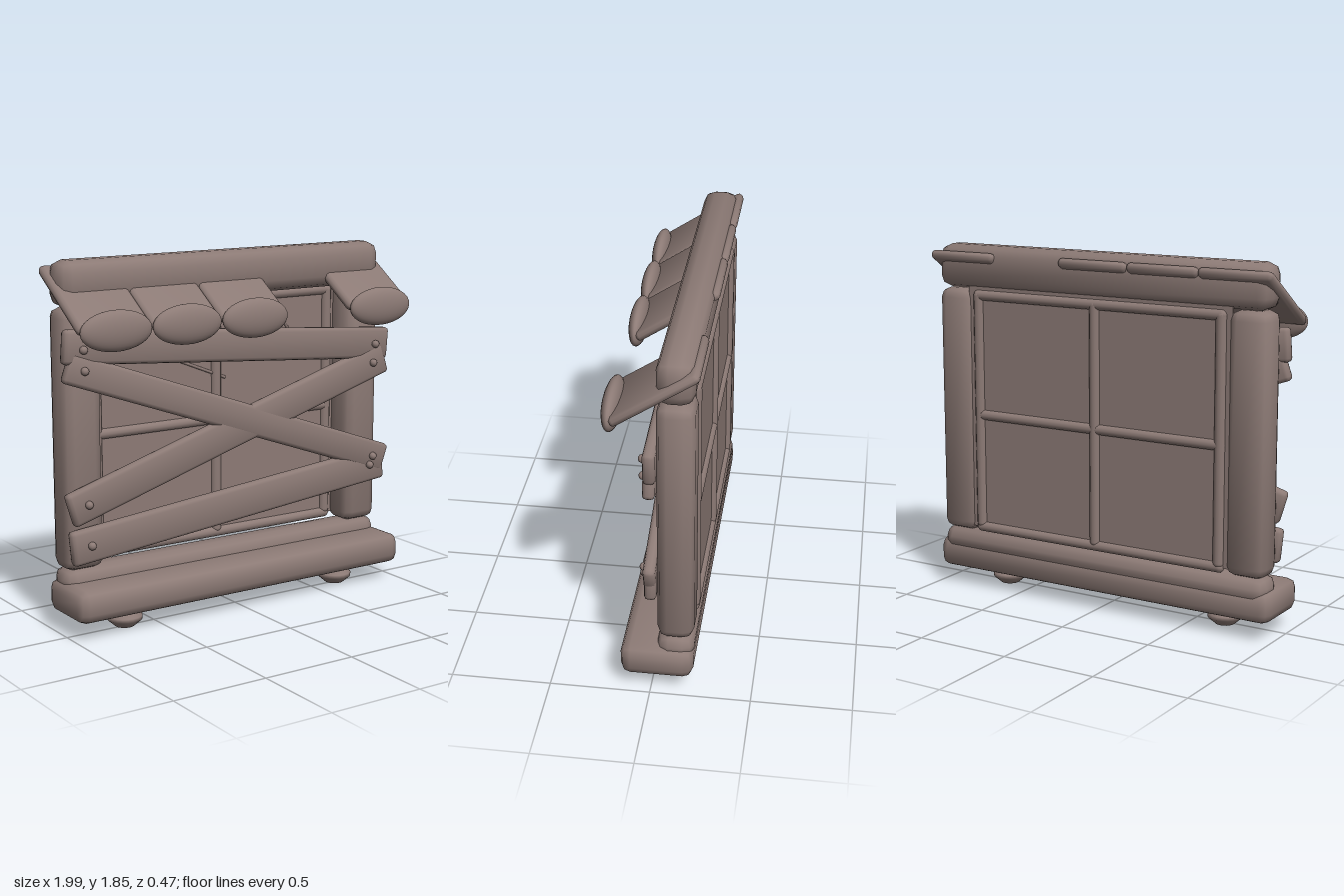
import * as THREE from 'three';
import { RoundedBoxGeometry } from 'three/addons/geometries/RoundedBoxGeometry.js';

// Box with a coarse bevel and softened normals, for a puffy carved look
function softBox(w, h, d, r) {
  const geometry = new RoundedBoxGeometry(w, h, d, 1, r);
  const { position, normal } = geometry.attributes;
  const n = new THREE.Vector3();
  for (let i = 0; i < position.count; i++) {
    n.fromBufferAttribute(normal, i);
    n.x += 0.3 * Math.sign(position.getX(i));
    n.y += 0.3 * Math.sign(position.getY(i));
    n.z += 0.3 * Math.sign(position.getZ(i));
    n.normalize();
    normal.setXYZ(i, n.x, n.y, n.z);
  }
  return geometry;
}

export function createModel() {
  const model = new THREE.Group();
  model.name = 'boardedWindow';
  const wood = new THREE.MeshStandardMaterial({ color: 0x8d7b76 });
  wood.name = 'wood';

  const add = (name, geometry, x, y, z) => {
    const mesh = new THREE.Mesh(geometry, wood);
    mesh.name = name;
    mesh.position.set(x, y, z);
    model.add(mesh);
    return mesh;
  };
  const block = (name, w, h, d, r, x, y, z) => add(name, softBox(w, h, d, r), x, y, z);

  // Main frame
  block('sill', 1.99, 0.167, 0.36, 0.05, 0, 0.173, -0.03);
  block('bottomRail', 1.935, 0.14, 0.18, 0.055, 0, 0.25, -0.12);
  block('topBeam', 1.935, 0.228, 0.18, 0.06, 0, 1.738, -0.12);
  for (const side of [-1, 1]) {
    block('sidePost', 0.212, 1.31, 0.18, 0.05, side * 0.86, 0.968, -0.12);
  }

  // Feet under the sill
  const footProfile = [[0, 0], [0.05, 0], [0.09, 0.035], [0.09, 0.055], [0.05, 0.1], [0, 0.1]]
    .map(([r, y]) => new THREE.Vector2(r, y));
  for (const side of [-1, 1]) add('foot', new THREE.LatheGeometry(footProfile, 20), side * 0.665, 0, -0.01);

  // Pane and round glazing bars, set toward the back of the frame
  const paneZ = -0.185;
  add('pane', new THREE.BoxGeometry(1.55, 1.295, 0.012), 0, 0.9925, paneZ);
  const bar = (name, x1, y1, x2, y2, r, z) => {
    const length = Math.hypot(x2 - x1, y2 - y1);
    const mesh = add(name, new THREE.CapsuleGeometry(r, length - 2 * r, 4, 12), (x1 + x2) / 2, (y1 + y2) / 2, z);
    mesh.rotation.z = Math.atan2(y2 - y1, x2 - x1) - Math.PI / 2;
  };
  for (const x of [-0.715, 0, 0.715]) bar('verticalBar', x, 0.34, x, 1.62, 0.03, paneZ);
  for (const y of [0.348, 0.96, 1.595]) bar('horizontalBar', -0.745, y, 0.745, y, 0.028, paneZ);

  // Cracks in the pane
  const cracks = [[0.36, 1.565, 0.46, 1.4], [-0.24, 1.295, 0.06, 1.175], [-0.6, 1.35, -0.53, 1.305]];
  for (const [x1, y1, x2, y2] of cracks) bar('crack', x1, y1, x2, y2, 0.008, paneZ + 0.008);

  // Boards nailed across: x1, y1, x2, y2, height, z
  const boards = [
    [-0.99, 1.45, 0.988, 1.303, 0.17, -0.002],
    [-0.975, 1.353, 0.978, 0.661, 0.156, 0.001],
    [-0.97, 0.637, 0.97, 1.229, 0.174, 0],
    [-0.965, 0.444, 0.968, 0.64, 0.178, -0.001],
  ];
  for (const [x1, y1, x2, y2, h, z] of boards) {
    const length = Math.hypot(x2 - x1, y2 - y1);
    const board = block('board', length, h, 0.06, 0.02, (x1 + x2) / 2, (y1 + y2) / 2, z);
    board.rotation.z = Math.atan2(y2 - y1, x2 - x1);
  }

  // Nail heads
  const nails = [[-0.895, 1.433], [-0.89, 1.33], [0.89, 1.307], [0.878, 1.206], [-0.88, 0.667], [0.885, 0.687], [0.865, 0.64], [-0.868, 0.458]];
  for (const [x, y] of nails) add('nail', new THREE.SphereGeometry(0.021, 12, 8), x, y, 0.038);

  // Sloping awning slats with rounded lips, one slat missing
  for (const x of [-0.797, -0.4, 0, 0.797]) {
    const slat = block('awningSlat', 0.396, 0.05, 0.485, 0.022, x, 1.672, -0.028);
    slat.rotation.x = 0.591;
    const lip = add('awningLip', new THREE.SphereGeometry(1, 28, 16), x, 1.537, 0.184);
    lip.scale.set(0.196, 0.1, 0.047);
  }
  return model;
}
